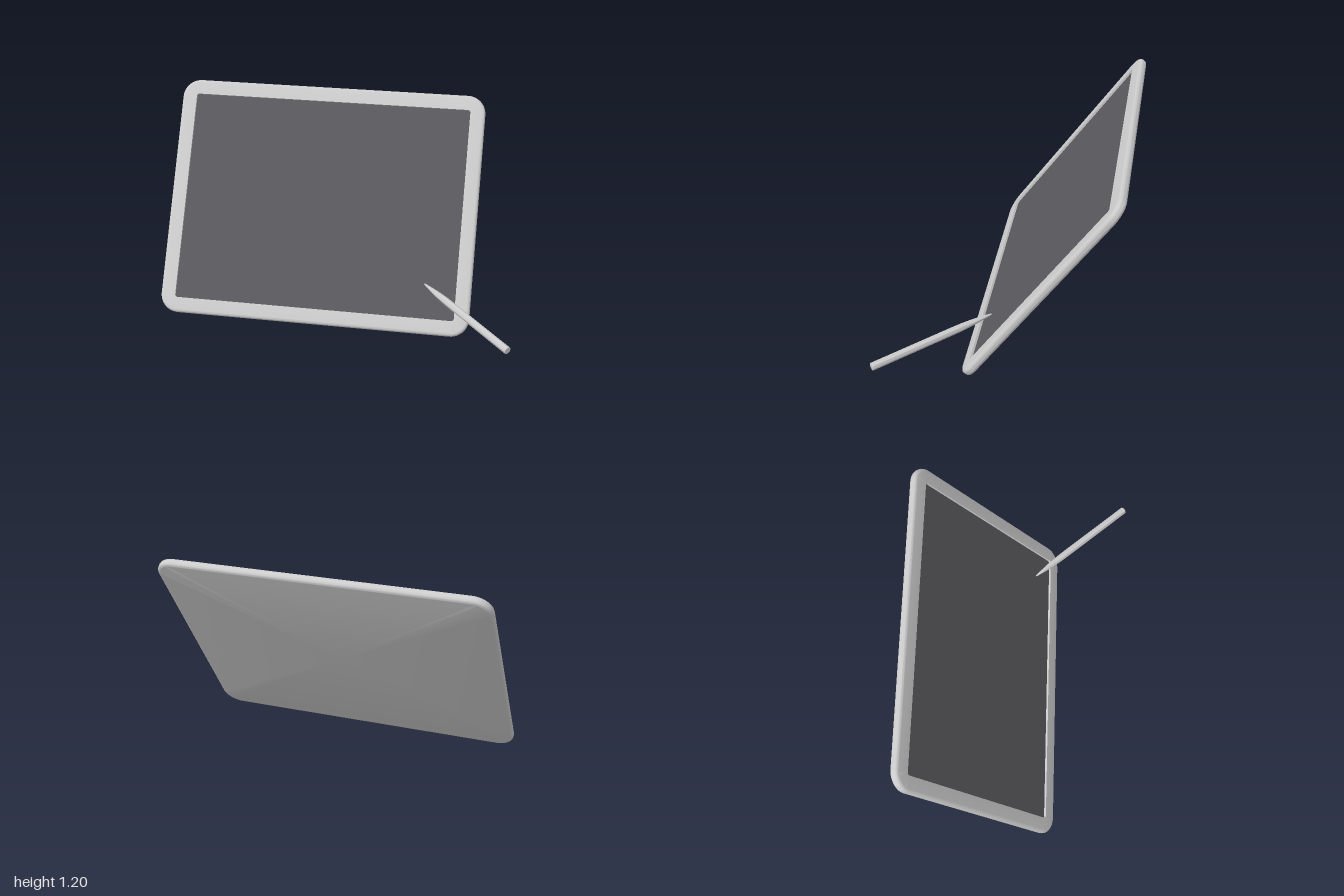
import * as THREE from 'three';
import { toCreasedNormals } from 'three/addons/utils/BufferGeometryUtils.js';

const WIDTH = 1.87, HEIGHT = 1.45, THICK = 0.05, CORNER = 0.11, BEVEL = 0.02;
const SCREEN_W = 1.69, SCREEN_H = 1.268, RECESS = 0.013;
const CORNER_STEPS = 10;

// Points of a rounded rectangle at depth z, counter-clockwise seen from +z
function ring(w, h, r, z) {
  const points = [];
  for (let c = 0; c < 4; c++) {
    const cx = (c === 0 || c === 3 ? 1 : -1) * (w / 2 - r);
    const cy = (c < 2 ? 1 : -1) * (h / 2 - r);
    for (let i = 0; i <= CORNER_STEPS; i++) {
      const a = (c + i / CORNER_STEPS) * Math.PI / 2;
      points.push(new THREE.Vector3(cx + r * Math.cos(a), cy + r * Math.sin(a), z));
    }
  }
  return points;
}

// Skin a series of rings; optionally close the first or the last one
function loft(rings, capFirst, capLast) {
  const pos = [];
  const tri = (...corners) => corners.forEach((p) => pos.push(p.x, p.y, p.z));
  const n = rings[0].length;
  for (let k = 0; k < rings.length - 1; k++) {
    for (let i = 0; i < n; i++) {
      const j = (i + 1) % n;
      const [a, b, c, d] = [rings[k][i], rings[k][j], rings[k + 1][j], rings[k + 1][i]];
      tri(a, b, c);
      tri(a, c, d);
    }
  }
  const cap = (points, flip) => {
    const centre = new THREE.Vector3(0, 0, points[0].z);
    points.forEach((p, i) => {
      const q = points[(i + 1) % n];
      if (flip) tri(centre, q, p);
      else tri(centre, p, q);
    });
  };
  if (capFirst) cap(rings[0], true);
  if (capLast) cap(rings[rings.length - 1], false);
  const geometry = new THREE.BufferGeometry();
  geometry.setAttribute('position', new THREE.Float32BufferAttribute(pos, 3));
  return toCreasedNormals(geometry, 0.6);
}

function createTablet(grey, dark) {
  const tablet = new THREE.Group();
  tablet.name = 'tablet';

  // Casing: flat back, rounded rim, bezel and the walls of the screen recess
  const rings = [];
  for (const side of [-1, 1]) {
    for (let i = 0; i <= 5; i++) {
      const a = (side < 0 ? 5 - i : i) / 5 * Math.PI / 2;
      const inset = BEVEL * (1 - Math.cos(a));
      const z = side * (THICK / 2 - BEVEL + BEVEL * Math.sin(a));
      rings.push(ring(WIDTH - 2 * inset, HEIGHT - 2 * inset, CORNER - inset, z));
    }
  }
  const floor = ring(SCREEN_W, SCREEN_H, 0.015, THICK / 2 - RECESS);
  rings.push(ring(SCREEN_W, SCREEN_H, 0.015, THICK / 2), floor);
  const casing = new THREE.Mesh(loft(rings, true, false), grey);
  casing.name = 'casing';

  // Dark panel at the bottom of the recess
  const screen = new THREE.Mesh(loft([floor], false, true), dark);
  screen.name = 'screen';
  tablet.add(casing, screen);

  // Lean back and turn aside
  const turn = THREE.MathUtils.degToRad(16), lean = THREE.MathUtils.degToRad(55);
  const across = new THREE.Vector3(Math.cos(turn), 0, Math.sin(turn));
  const up = new THREE.Vector3(
    Math.sin(turn) * Math.cos(lean), Math.sin(lean), -Math.cos(turn) * Math.cos(lean));
  const out = across.clone().cross(up);
  tablet.quaternion.setFromRotationMatrix(new THREE.Matrix4().makeBasis(across, up, out));
  tablet.position.set(0, 0.6, -0.253);
  return tablet;
}

// Stylus: slender tapered tip, straight barrel, flat end
function createStylus(grey) {
  const tip = new THREE.Vector3(0.553, 0.277, 0.208);
  const end = new THREE.Vector3(0.879, 0.236, 0.882);
  const length = tip.distanceTo(end);
  const profile = [
    [0, 0], [0.004, 0.002], [0.008, 0.03], [0.013, 0.075], [0.018, 0.13], [0.021, 0.19],
    [0.022, 0.25], [0.022, length - 0.004], [0.019, length], [0, length],
  ].map(([r, y]) => new THREE.Vector2(r, y));
  const geometry = toCreasedNormals(new THREE.LatheGeometry(profile, 24), 0.6);
  const stylus = new THREE.Mesh(geometry, grey);
  stylus.name = 'stylus';
  stylus.position.copy(tip);
  stylus.quaternion.setFromUnitVectors(
    new THREE.Vector3(0, 1, 0), end.clone().sub(tip).normalize());
  return stylus;
}

export function createModel() {
  const grey = new THREE.MeshStandardMaterial({ color: 0xcccccc });
  const dark = new THREE.MeshStandardMaterial({ color: 0x5a595e });
  const model = new THREE.Group();
  model.name = 'tabletWithStylus';
  model.add(createTablet(grey, dark), createStylus(grey));
  return model;
}
